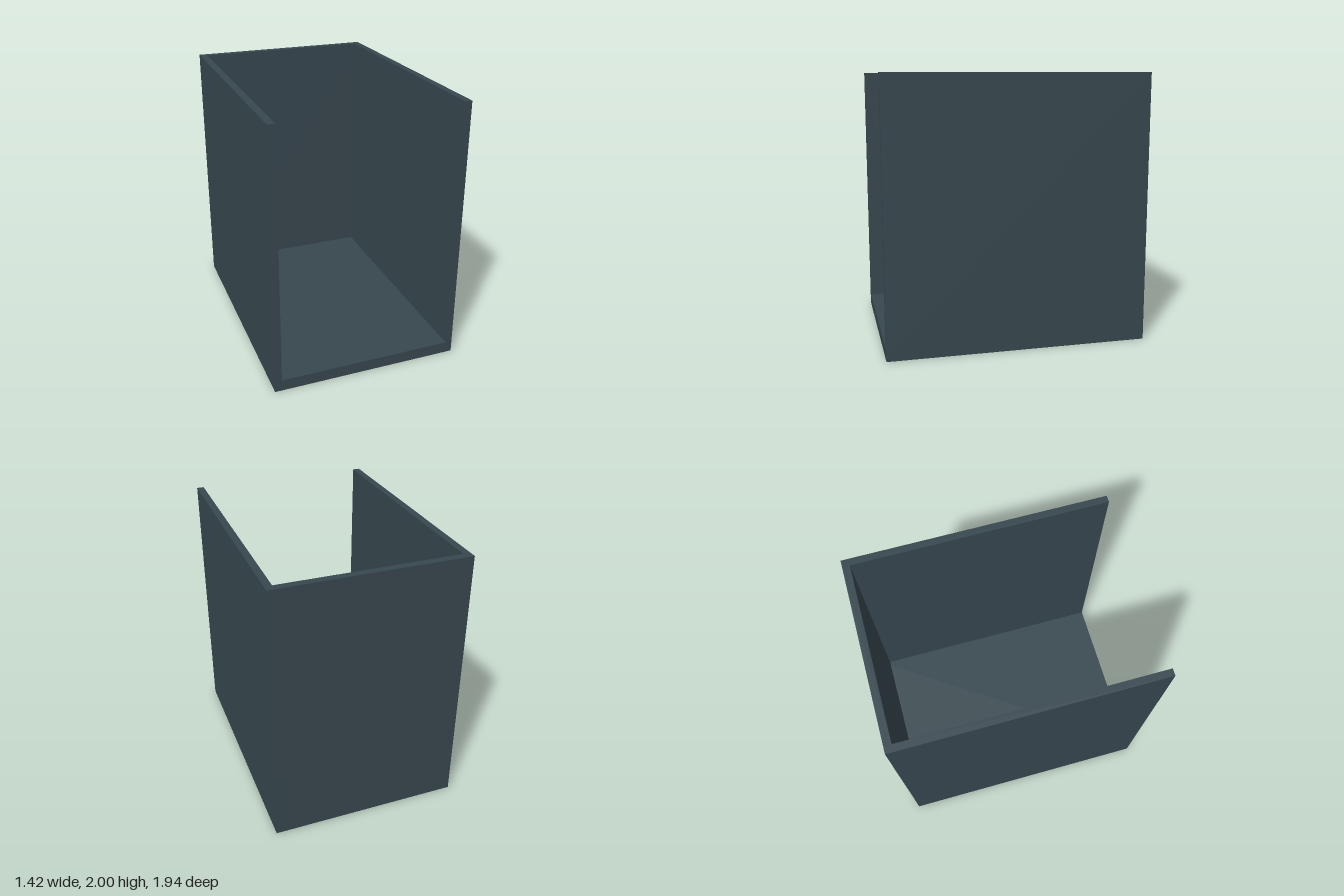
import * as THREE from 'three';

// Open-topped, open-fronted bin made of flat panels.
const W = 1.42, H = 2, D = 1.94;
const WALL = 0.053, FLOOR = 0.087, BACK = 0.055;

export function createModel() {
  const group = new THREE.Group();
  group.name = 'openBin';

  const slate = new THREE.MeshStandardMaterial({ color: 0x37474f });
  slate.name = 'dark slate';

  function panel(name, w, h, d, x, y, z) {
    const mesh = new THREE.Mesh(new THREE.BoxGeometry(w, h, d), slate);
    mesh.name = name;
    mesh.position.set(x, y, z);
    group.add(mesh);
  }

  const innerW = W - 2 * WALL;

  // side walls run the full height and depth
  for (const [name, s] of [['leftWall', 1], ['rightWall', -1]]) {
    panel(name, WALL, H, D, s * (W - WALL) / 2, H / 2, 0);
  }

  // floor fits between the side walls
  panel('floor', innerW, FLOOR, D, 0, FLOOR / 2, 0);

  // back wall stands on the floor
  panel('backWall', innerW, H - FLOOR, BACK, 0, (H + FLOOR) / 2, -(D - BACK) / 2);

  return group;
}
